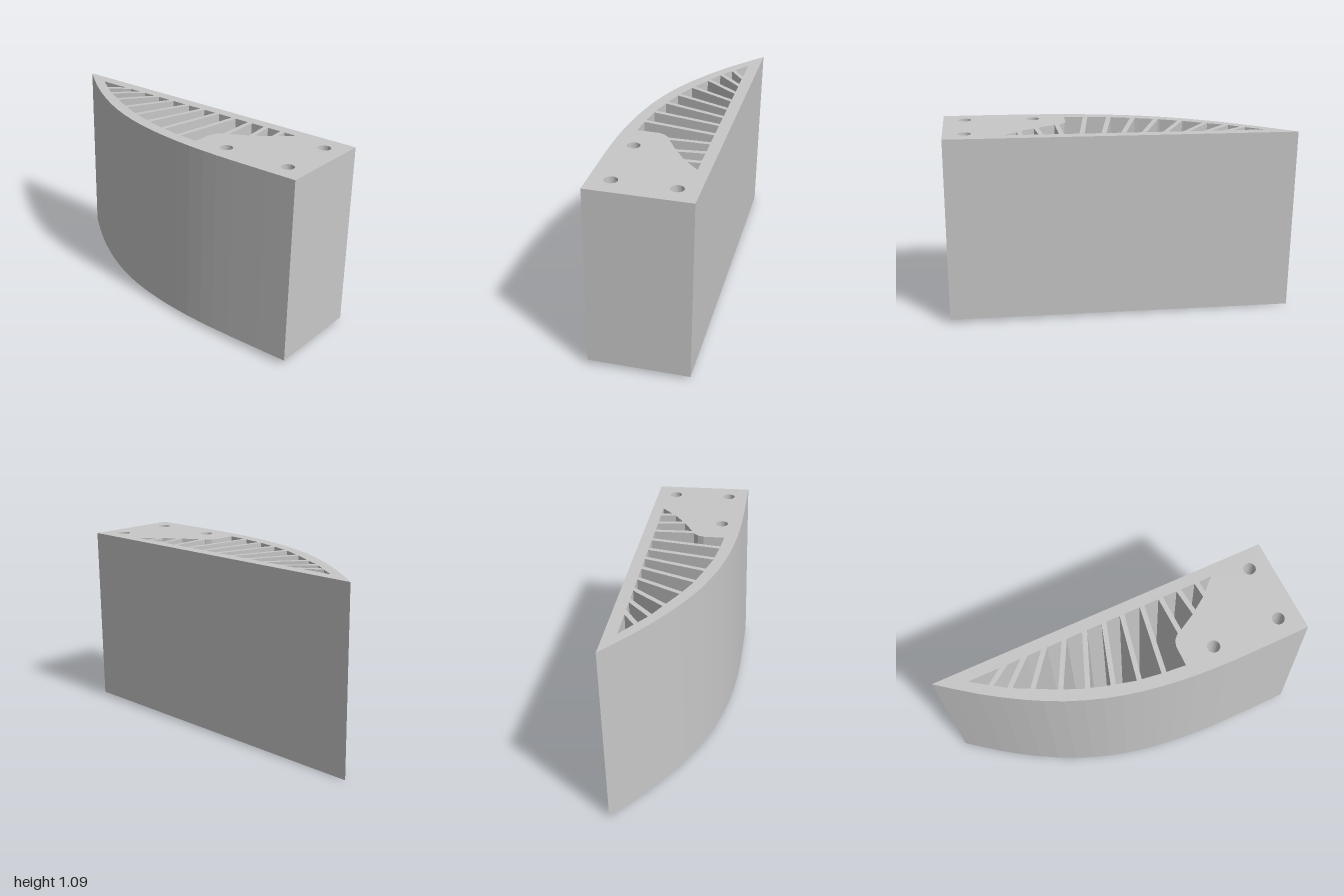
import * as THREE from 'three';

const H = 1.0605; // block height

// Outer curved side, [x, z] from rear tip to front
const OUTER = [[0.305, -1], [0.145, -0.8], [0.01, -0.6], [-0.1, -0.4], [-0.18, -0.2],
  [-0.234, 0], [-0.268, 0.2], [-0.287, 0.4], [-0.294, 0.6], [-0.297, 0.985]];

// Inner side of the cavity: slanted front, rounded shoulder, curved wall
const INNER = [[0.21, 0.648], [0.125, 0.56], [0.05, 0.45], [-0.008, 0.345], [-0.02, 0.32],
  [-0.045, 0.295], [-0.08, 0.283], [-0.203, 0.28], [-0.188, 0.143], [-0.165, 0], [-0.12, -0.16],
  [-0.08, -0.28], [-0.02, -0.41], [0.04, -0.52], [0.1, -0.635], [0.165, -0.725], [0.228, -0.815]];

// Ribs: z of the centre line at the curved wall and at the straight wall
const RIBS = [[0.567, 0.562], [0.466, 0.45], [0.34, 0.338], [0.154, 0.223], [0.016, 0.1],
  [-0.122, -0.01], [-0.254, -0.127], [-0.387, -0.25], [-0.52, -0.37], [-0.63, -0.49], [-0.715, -0.61]];

const SCREWS = [[-0.172, 0.466], [-0.18, 0.863], [0.16, 0.868]];
const SCREW_R = 0.036;

const v = (x, z) => new THREE.Vector2(x, -z);
const rightX = (z) => 0.222 - 0.013 * z;

function leftX(z) {
  for (let i = 1; i < INNER.length; i++) {
    const [x0, z0] = INNER[i - 1], [x1, z1] = INNER[i];
    if (z >= z1) return x0 + (x1 - x0) * (z - z0) / (z1 - z0);
  }
  return INNER[INNER.length - 1][0];
}

// Front and rear edges of a rib where it meets both walls
function ribEdges([zl, zr]) {
  const m = (zr - zl) / (rightX(zr) - leftX(zl));
  const slope = (leftX(zl + 0.005) - leftX(zl - 0.005)) / 0.01;
  const d = 0.014 * Math.hypot(1, m);
  const dl = d / (1 - m * slope);
  return { front: [zl + dl, zr + d], rear: [zl - dl, zr - d] };
}

// Slight lean of the whole block
function lean(geometry) {
  return geometry.applyMatrix4(new THREE.Matrix4().set(
    1, 0.017, 0, 0.004 - 0.017 * H,
    -0.016, 1, 0.01, 0.0149,
    0, -0.008, 1, 0.008 * H,
    0, 0, 0, 1));
}

export function createModel() {
  const group = new THREE.Group();
  group.name = 'ribbedFinBlock';
  const grey = new THREE.MeshStandardMaterial({ color: 0xc7c7c7 });
  grey.name = 'grey';

  // Outline, counter-clockwise: curved side, then the straight side
  const curve = new THREE.SplineCurve(OUTER.map(([x, z]) => v(x, z)));
  const shape = new THREE.Shape([...curve.getPoints(18), v(0.275, 0.99)]);

  // Cells between neighbouring ribs
  const edges = RIBS.map(ribEdges);
  const starts = [[0.648, 0.648], ...edges.map((e) => e.rear)];
  const ends = [...edges.map((e) => e.front), [-0.815, -0.815]];
  starts.forEach(([sl, sr], i) => {
    const [el, er] = ends[i];
    const knots = INNER.filter(([, z]) => z < sl - 0.002 && z > el + 0.002);
    shape.holes.push(new THREE.Path([
      v(leftX(sl), sl), ...knots.map(([x, z]) => v(x, z)), v(leftX(el), el),
      v(rightX(er), er), v(rightX(sr), sr)]));
  });

  // Screw holes
  for (const [x, z] of SCREWS) {
    const ring = [];
    for (let i = 0; i < 24; i++) {
      const a = i / 24 * Math.PI * 2;
      ring.push(v(x + SCREW_R * Math.cos(a), z + SCREW_R * Math.sin(a)));
    }
    shape.holes.push(new THREE.Path(ring));
  }

  const body = new THREE.ExtrudeGeometry(shape, { depth: H, bevelEnabled: false });
  body.rotateX(-Math.PI / 2);
  const bodyMesh = new THREE.Mesh(lean(body), grey);
  bodyMesh.name = 'ribbedBody';
  group.add(bodyMesh);

  // Conical floors closing the screw holes at both ends
  const depth = 0.2;
  SCREWS.forEach(([x, z], i) => {
    for (const [end, side] of [['top', 1], ['bottom', -1]]) {
      const rim = new THREE.Vector2(SCREW_R, H / 2 + side * (H / 2 - depth));
      const tip = new THREE.Vector2(0, rim.y - side * 0.02);
      const floor = new THREE.LatheGeometry(side > 0 ? [rim, tip] : [tip, rim], 24);
      floor.translate(x, 0, z);
      const mesh = new THREE.Mesh(lean(floor), grey);
      mesh.name = `${end}ScrewHoleFloor${i + 1}`;
      group.add(mesh);
    }
  });

  return group;
}
